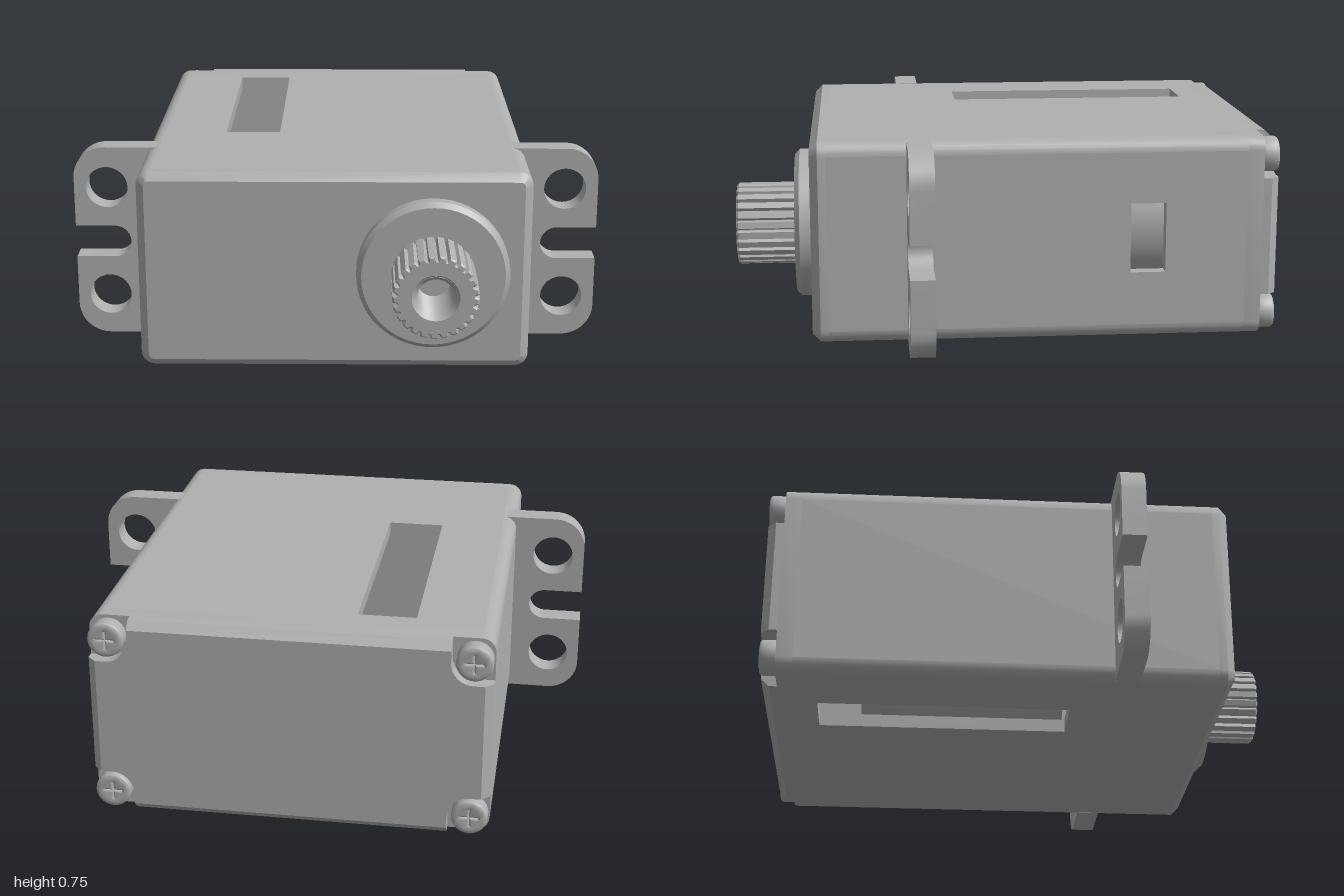
import * as THREE from 'three';
import { toCreasedNormals } from 'three/addons/utils/BufferGeometryUtils.js';

const W = 0.72, H = 0.375, R = 0.05;      // case half width, half height, edge radius
const SX = 0.65, SY = 0.30;               // screw centres
const V = (x, y) => new THREE.Vector2(x, y);
const CORNERS = [[1, 1], [-1, 1], [-1, -1], [1, -1]];

// Points on an arc
function arc(cx, cy, r, from, to, n = 6) {
  return Array.from({ length: n + 1 }, (_, i) => {
    const a = from + (to - from) * i / n;
    return V(cx + r * Math.cos(a), cy + r * Math.sin(a));
  });
}

// Case outline with rounded corners, shrunk by d
function roundedOutline(d) {
  return CORNERS.flatMap(([sx, sy], i) =>
    arc(sx * (W - R), sy * (H - R), R - d, i * Math.PI / 2, (i + 1) * Math.PI / 2));
}

// Rear cover outline with a rounded notch at every corner, shrunk by d
function notchedOutline(d) {
  const r = 0.08;
  return CORNERS.flatMap(([sx, sy]) => {
    const pts = [V(W - d, SY - r), ...arc(SX, SY, r, 1.5 * Math.PI, Math.PI, 8), V(SX - r, H - d)]
      .map(p => V(p.x * sx, p.y * sy));
    return sx * sy > 0 ? pts : pts.reverse();
  });
}

// Closed solid from an outline at several [z, inset] layers, z ascending
function slab(outline, layers) {
  const rings = layers.map(([, d]) => outline(d));
  const n = rings[0].length, pos = [], idx = [];
  rings.forEach((ring, k) => ring.forEach(p => pos.push(p.x, p.y, layers[k][0])));
  for (let k = 0; k < rings.length - 1; k++) {
    for (let i = 0; i < n; i++) {
      const a = k * n + i, b = k * n + (i + 1) % n;
      idx.push(a, b, b + n, a, b + n, a + n);
    }
  }
  const top = (rings.length - 1) * n;
  for (const [a, b, c] of THREE.ShapeUtils.triangulateShape(rings[0], [])) idx.push(a, c, b);
  for (const [a, b, c] of THREE.ShapeUtils.triangulateShape(rings[rings.length - 1], [])) {
    idx.push(top + a, top + b, top + c);
  }
  const g = new THREE.BufferGeometry();
  g.setAttribute('position', new THREE.Float32BufferAttribute(pos, 3));
  g.setIndex(idx);
  return g;
}

const rect = (x0, y0, x1, y1) => [V(x0, y0), V(x1, y0), V(x1, y1), V(x0, y1)];

// Flat panel with optional holes
function plate(points, holes, depth, extra = {}) {
  const s = new THREE.Shape(points);
  for (const h of holes) s.holes.push(new THREE.Path(h));
  return new THREE.ExtrudeGeometry(s, { depth, bevelEnabled: false, ...extra });
}

const turned = (profile, segments) =>
  new THREE.LatheGeometry(profile.map(p => V(...p)), segments).rotateX(Math.PI / 2);

export function createModel() {
  const model = new THREE.Group();
  model.name = 'servoMotor';
  const body = new THREE.Group();
  body.name = 'body';
  body.position.y = H;
  model.add(body);

  const grey = new THREE.MeshStandardMaterial({ color: 0xb0b0b0, side: THREE.DoubleSide });
  grey.name = 'grey';

  function add(name, geometry, x = 0, y = 0, z = 0) {
    const mesh = new THREE.Mesh(toCreasedNormals(geometry, 0.6), grey);
    mesh.name = name;
    mesh.position.set(x, y, z);
    body.add(mesh);
    return mesh;
  }

  // Case ends
  const z0 = -0.88, z1 = 0.66;
  add('frontCap', slab(roundedOutline, [[z1, 0], [0.69, 0], [0.72, 0.03]]));
  add('rearLedge', slab(roundedOutline, [[-0.94, 0], [z0, 0]]));
  add('rearCover', slab(notchedOutline, [[-1, 0.03], [-0.97, 0], [-0.94, 0]]));

  // Hollow case: slotted top and bottom, side walls, rounded long edges
  const slot = rect(-0.43, -0.8, -0.22, 0.14);
  for (const [name, y] of [['topPanel', H], ['bottomPanel', R - H]]) {
    add(name, plate(rect(R - W, z0, W - R, z1), [slot], R).rotateX(Math.PI / 2), 0, y);
  }
  const wall = rect(-z1, R - H, -z0, H - R);
  const port = rect(0.45, -0.125, 0.58, 0.135);
  add('leftWall', plate(wall, [port], R).rotateY(Math.PI / 2), W - R);
  add('rightWall', plate(wall, [], R).rotateY(Math.PI / 2), -W);
  CORNERS.forEach(([sx, sy], i) => {
    const edge = new THREE.CylinderGeometry(R, R, z1 - z0, 6, 1, true, (i + 1) * Math.PI / 2, Math.PI / 2);
    add('caseEdge', edge.rotateX(Math.PI / 2), sx * (W - R), sy * (H - R), (z0 + z1) / 2);
  });

  // Motor can inside the case
  add('motorCan', new THREE.CylinderGeometry(0.31, 0.31, 0.8, 40).rotateX(Math.PI / 2), 0.2, 0, -0.25);

  // Mounting ears with two holes and an open slot
  const q = Math.PI / 2, earR = 0.12;
  const ear = [
    V(0.68, -H), ...arc(1 - earR, earR - H, earR, -q, 0, 10),
    V(1, -0.0625), ...arc(0.85, 0, 0.0625, -q, -3 * q, 14), V(1, 0.0625),
    ...arc(1 - earR, H - earR, earR, 0, q, 10), V(0.68, H),
  ];
  const earHoles = [-1, 1].map(s => arc(0.875, s * 0.217, 0.08, 0, 4 * q, 32).slice(0, -1));
  for (const s of [1, -1]) {
    const e = add(s > 0 ? 'leftEar' : 'rightEar', plate(ear, earHoles, 0.09), 0, 0, s > 0 ? 0.28 : 0.37);
    if (s < 0) e.rotation.y = Math.PI;
  }

  // Corner screws with a cross recess
  const a = 0.012, b = 0.042;
  const cross = [[a, b], [-a, b], [-a, a], [-b, a], [-b, -a], [-a, -a],
    [-a, -b], [a, -b], [a, -a], [b, -a], [b, a], [a, a]].map(p => V(...p));
  for (const [sx, sy] of CORNERS) {
    const head = plate(arc(0, 0, 0.053, 0, 4 * q, 28).slice(0, -1), [cross], 0.046,
      { bevelEnabled: true, bevelSize: 0.012, bevelThickness: 0.012, bevelSegments: 3 });
    add('screwHead', head, sx * SX, sy * SY, -0.988);
    add('screwRecess', new THREE.CylinderGeometry(0.05, 0.05, 0.02, 24).rotateX(q), sx * SX, sy * SY, -0.95);
  }

  // Output boss
  const ox = 0.36, oy = 0.005;
  add('outputBoss', turned([[0.28, 0.70], [0.28, 0.762], [0.262, 0.78], [0, 0.78]], 56), ox, oy);

  // Splined output shaft
  const teeth = 25, gear = [];
  for (let i = 0; i < teeth; i++) {
    [[0, 0.134], [0.3, 0.134], [0.45, 0.148], [0.85, 0.148]].forEach(([t, r]) => {
      const ang = (i + t) / teeth * 4 * q;
      gear.push(V(r * Math.cos(ang), r * Math.sin(ang)));
    });
  }
  const bore = arc(0, 0, 0.085, 0, 4 * q, 40).slice(0, -1);
  add('outputSpline', plate(gear, [bore], 0.214,
    { bevelEnabled: true, bevelSize: 0.006, bevelThickness: 0.008, bevelSegments: 1 }), ox, oy, 0.778);

  // Threaded bore
  const thread = [[0.08, 0.999], [0.066, 0.985]];
  for (let z = 0.975; z > 0.80; z -= 0.03) thread.push([0.076, z], [0.062, z - 0.015]);
  add('threadedBore', turned(thread, 32), ox, oy);

  return model;
}
